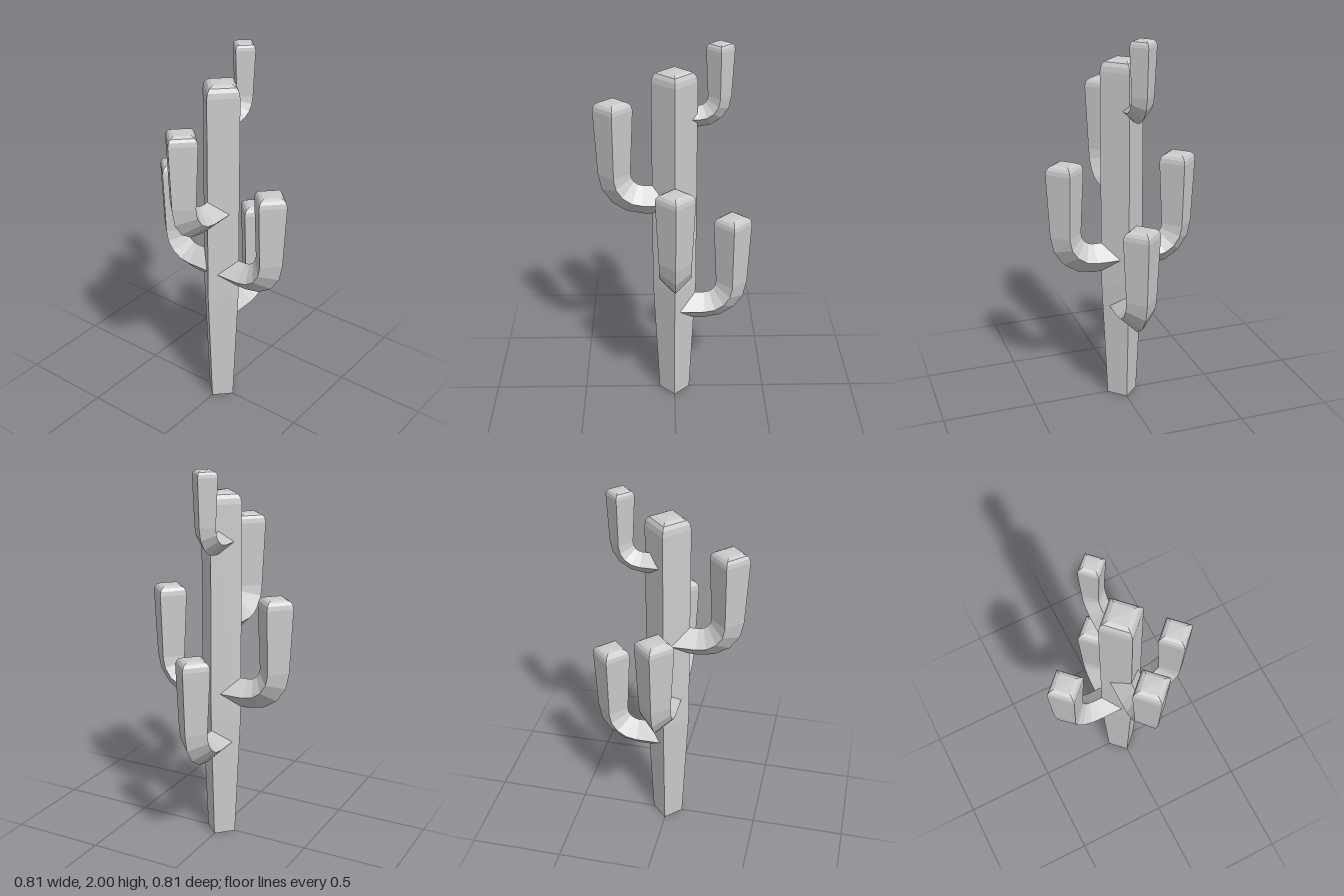
import * as THREE from 'three';

const material = new THREE.MeshStandardMaterial({ color: 0xcccccc, flatShading: true });

// Four-sided trunk, widening upward, with a rounded top
function makeTrunk() {
  const profile = [[0, 0], [0.083, 0], [0.115, 0.68], [0.115, 1.81], [0.109, 1.838], [0.094, 1.858], [0.068, 1.868], [0, 1.872]];
  const geometry = new THREE.LatheGeometry(profile.map(([r, y]) => new THREE.Vector2(r, y)), 4);
  const trunk = new THREE.Mesh(geometry, material);
  trunk.name = 'trunk';
  return trunk;
}

// Elbow-shaped arm along +x then up: a diamond section swept along a bent path
function makeArmGeometry() {
  const bend = 0.147, reach = 0.307, steps = 4;
  const rings = [{ x: 0, y: 0, a: 0, r: 0.08 }]; // a is the path direction
  for (let i = 0; i <= steps; i++) {
    const a = (i / steps) * Math.PI / 2;
    rings.push({ x: reach - bend + bend * Math.sin(a), y: bend * (1 - Math.cos(a)), a, r: 0.08 + 0.003 * i / steps });
  }
  // Tapered upright and rounded tip
  for (const [y, r] of [[0.488, 0.1], [0.51, 0.095], [0.525, 0.082], [0.533, 0.06], [0.536, 0]]) {
    rings.push({ x: reach, y, a: Math.PI / 2, r });
  }

  const positions = [], indices = [];
  for (const { x, y, a, r } of rings) {
    for (let k = 0; k < 4; k++) {
      const u = r * Math.cos(k * Math.PI / 2), w = r * Math.sin(k * Math.PI / 2);
      positions.push(x - Math.sin(a) * u, y + Math.cos(a) * u, w);
    }
  }
  for (let i = 0; i < rings.length - 1; i++) {
    for (let k = 0; k < 4; k++) {
      const a = i * 4 + k, b = i * 4 + (k + 1) % 4;
      indices.push(a, b, b + 4, a, b + 4, a + 4);
    }
  }
  indices.push(0, 2, 1, 0, 3, 2); // closed root inside the trunk
  const geometry = new THREE.BufferGeometry();
  geometry.setAttribute('position', new THREE.Float32BufferAttribute(positions, 3));
  geometry.setIndex(indices);
  geometry.computeVertexNormals();
  return geometry;
}

export function createModel() {
  const group = new THREE.Group();
  group.name = 'cactus';
  group.add(makeTrunk());

  // name, root position, turn about y, size
  const armGeometry = makeArmGeometry();
  const arms = [
    ['leftArm', [0, 0.82, 0], 0, 1],
    ['rightArm', [0, 0.82, 0], Math.PI, 1],
    ['frontArm', [0, 1.178, 0], -Math.PI / 2, 1],
    ['backArm', [0, 0.54, 0], Math.PI / 2, 1],
    ['smallTopArm', [-0.03, 1.623, -0.008], Math.PI / 2, 0.705],
  ];
  for (const [name, position, turn, size] of arms) {
    const arm = new THREE.Mesh(armGeometry, material);
    arm.name = name;
    arm.position.set(...position);
    arm.rotation.y = turn;
    arm.scale.setScalar(size);
    group.add(arm);
  }
  return group;
}
